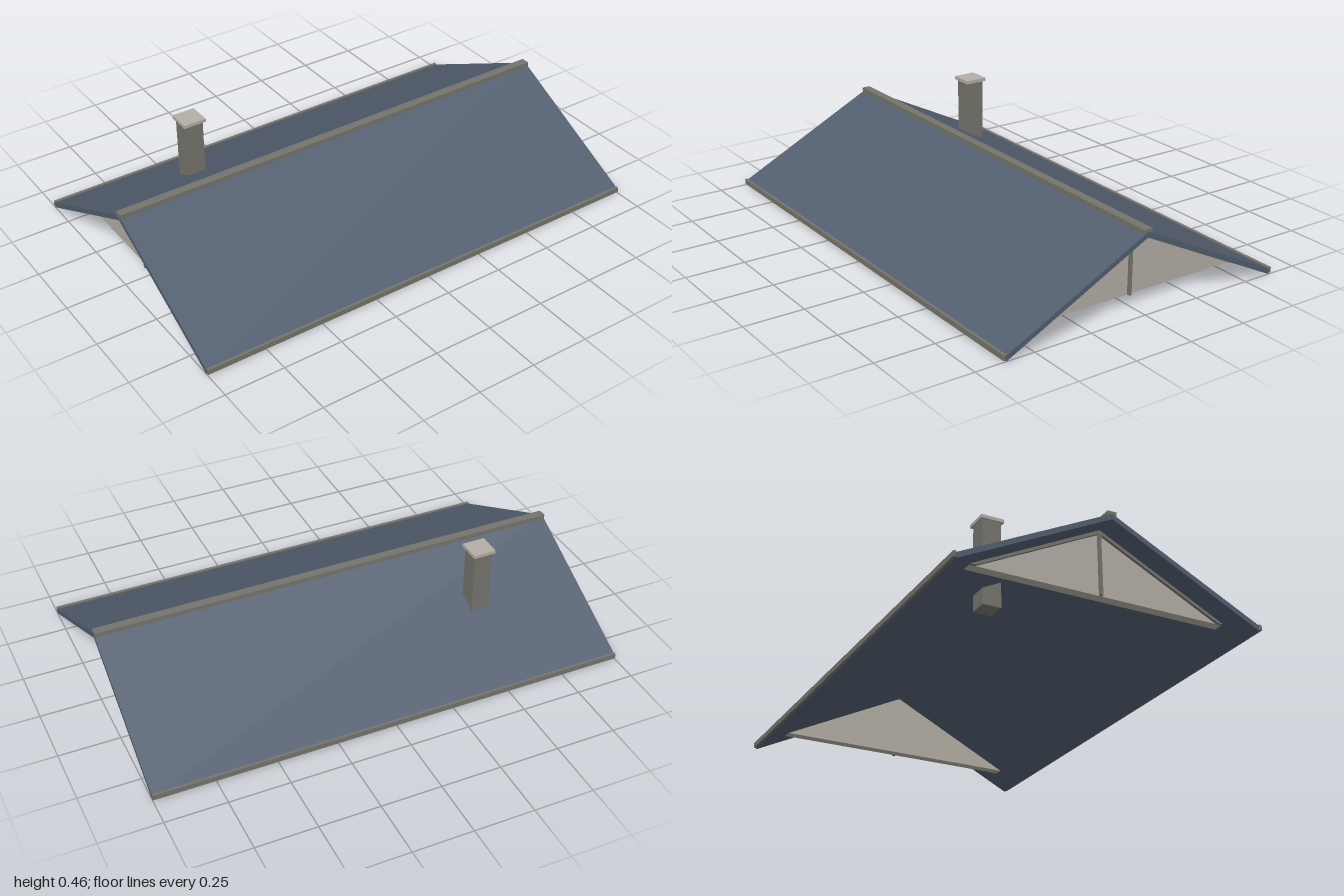
import * as THREE from 'three';

const flat = (name, color) => {
  const m = new THREE.MeshStandardMaterial({ color });
  m.name = name;
  return m;
};

export function createModel() {
  const slate = flat('slate blue', 0x525e6f);
  const trim = flat('grey trim', 0x75746c);
  const plaster = flat('pale plaster', 0xb3aea5);
  const model = new THREE.Group();
  model.name = 'gableRoof';

  const add = (name, geometry, material, x = 0, y = 0, z = 0) => {
    const mesh = new THREE.Mesh(geometry, material);
    mesh.name = name;
    mesh.position.set(x, y, z);
    model.add(mesh);
  };
  const box = (name, material, w, h, d, x, y, z) =>
    add(name, new THREE.BoxGeometry(w, h, d), material, x, y, z);

  // Extrude a z/y profile along x, centred on x
  const profile = (name, material, points, width, x = 0) => {
    const shape = new THREE.Shape(points.map(([z, y]) => new THREE.Vector2(z, y)));
    const geometry = new THREE.ExtrudeGeometry(shape, { depth: width, bevelEnabled: false });
    geometry.translate(0, 0, -width / 2).rotateY(Math.PI / 2);
    add(name, geometry, material, x);
  };

  // Both roof slopes as one chevron with square-cut eaves
  profile('roofSlopes', slate,
    [[-0.62, 0.005], [0, 0.315], [0.62, 0.005], [0.629, 0.023], [0, 0.337], [-0.629, 0.023]], 2);

  // Ridge cap and eave gutters
  box('ridgeCap', trim, 2, 0.025, 0.036, 0, 0.3345, 0);
  for (const side of [-1, 1]) {
    box('gutter', trim, 2, 0.022, 0.012, 0, 0.021, side * 0.626);
  }

  // Gable walls with raking trim and a centre post
  for (const side of [-1, 1]) {
    profile('gableWall', plaster, [[-0.524, 0.05], [0.524, 0.05], [0, 0.312]], 0.04, side * 0.88);
    profile('rakeTrim', trim,
      [[-0.525, 0.05], [-0.5, 0.05], [0, 0.3], [0.5, 0.05], [0.525, 0.05], [0, 0.3145]],
      0.012, side * 0.905);
    box('gablePost', trim, 0.014, 0.255, 0.011, side * 0.906, 0.1775, 0);
  }

  // Chimney passing through the rear slope
  box('chimney', trim, 0.078, 0.36, 0.078, -0.535, 0.275, -0.266);
  box('chimneyCap', plaster, 0.097, 0.014, 0.097, -0.535, 0.461, -0.266);

  return model;
}
